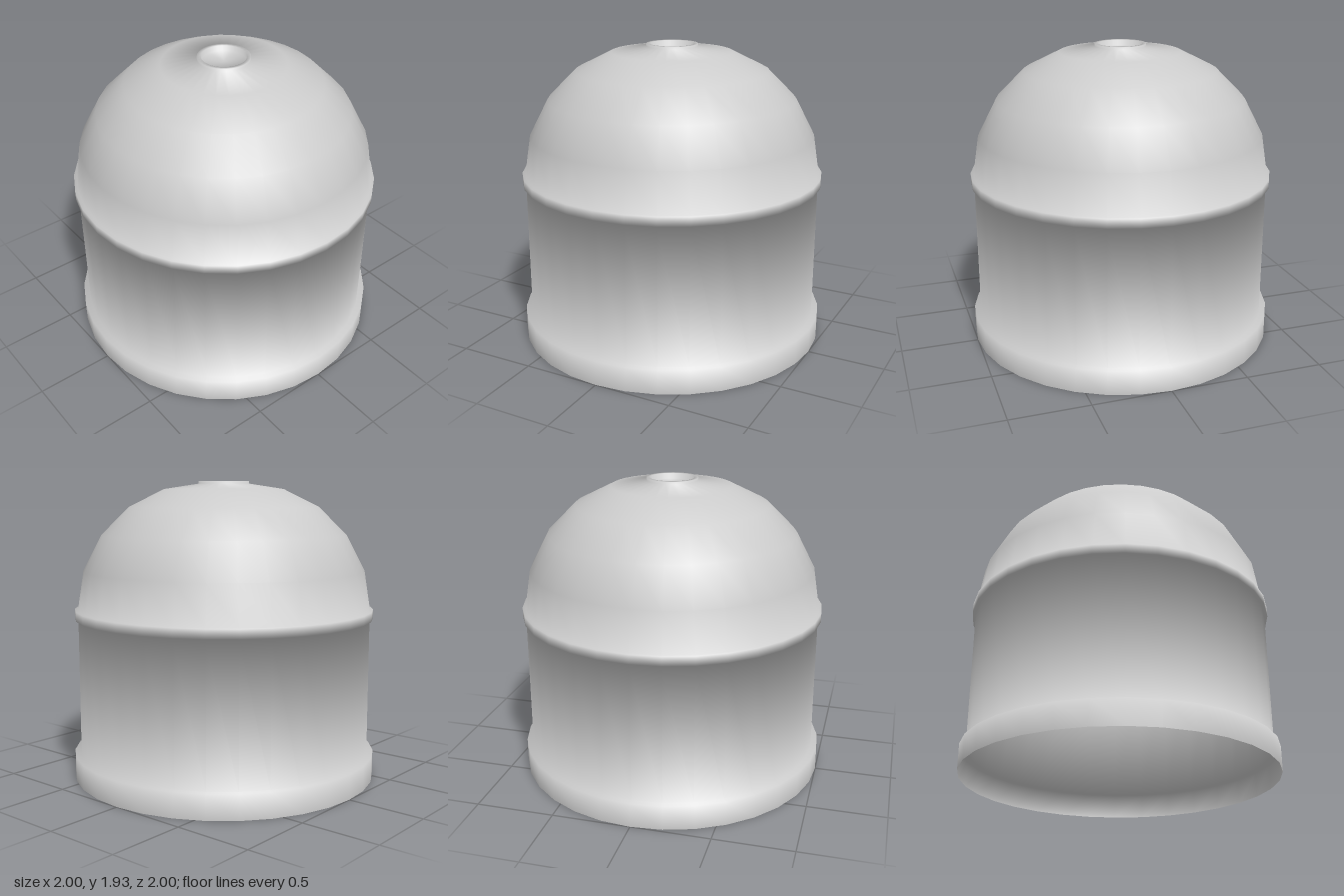
import * as THREE from 'three';

const SEGMENTS = 32;

// Outer profile of the thin shell, from the ground up: [radius, height]
const profile = [
  [1, 0], [1, 0.16], [0.96, 0.16],                                   // foot
  [0.96, 1.05],                                                      // wall
  [0.98, 1.05], [0.98, 1.11], [0.96, 1.11],                          // rim
  [0.92, 1.36], [0.8, 1.59], [0.62, 1.77], [0.39, 1.885], [0.165, 1.92], // dome
  [0.165, 1.935], [0.14, 1.935], [0.14, 1.9], [0, 1.9],              // cup on top
].map(([r, y]) => new THREE.Vector2(r, y));

// Soft normals: each profile point averages its two neighbouring slopes
const slopeNormal = (a, b) => new THREE.Vector2(b.y - a.y, a.x - b.x).normalize();
const normals = profile.map((p, i) => {
  const n = new THREE.Vector2();
  if (i > 0) n.add(slopeNormal(profile[i - 1], p));
  if (i < profile.length - 1) n.add(slopeNormal(p, profile[i + 1]));
  if (p.x === 0) n.set(0, 1);
  return n.normalize();
});

// Turns a stretch of the profile, keeping the shading continuous between parts
function turnedPart(name, first, last, material) {
  const points = profile.slice(first, last + 1);
  const geometry = new THREE.LatheGeometry(points, SEGMENTS);
  const normal = geometry.attributes.normal;
  for (let s = 0, v = 0; s <= SEGMENTS; s++) {
    const angle = (s / SEGMENTS) * Math.PI * 2;
    for (let i = first; i <= last; i++, v++) {
      const n = normals[i];
      normal.setXYZ(v, n.x * Math.sin(angle), n.y, n.x * Math.cos(angle));
    }
  }
  const mesh = new THREE.Mesh(geometry, material);
  mesh.name = name;
  return mesh;
}

export function createModel() {
  const model = new THREE.Group();
  model.name = 'domedShell';
  const material = new THREE.MeshStandardMaterial({ color: 0xcccccc, side: THREE.DoubleSide });
  model.add(
    turnedPart('footRing', 0, 2, material),
    turnedPart('wall', 2, 3, material),
    turnedPart('rim', 3, 6, material),
    turnedPart('dome', 6, 11, material),
    turnedPart('topCup', 11, 15, material),
  );
  return model;
}
